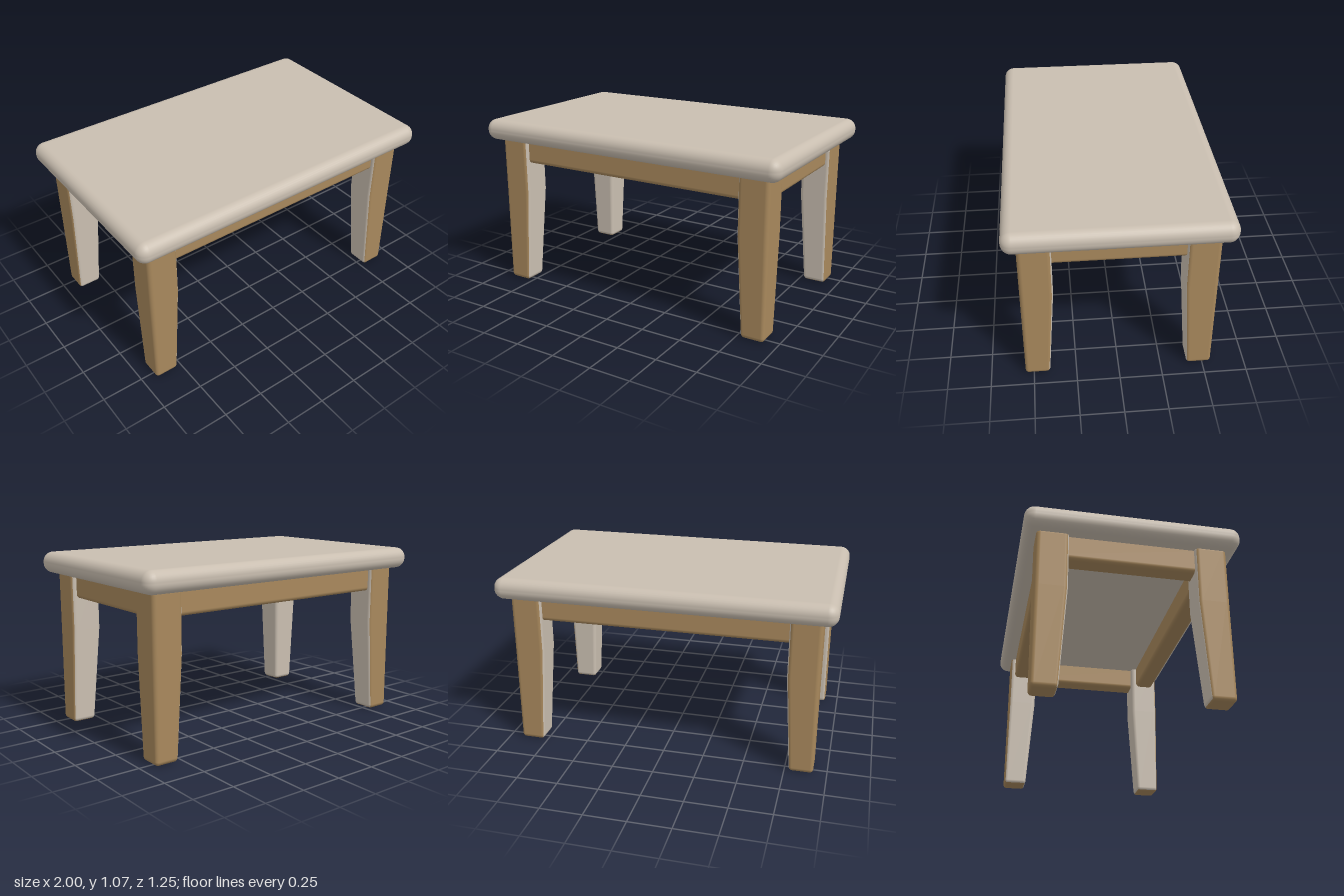
import * as THREE from 'three';

const wood = new THREE.MeshStandardMaterial({ color: 0xa8885c });
wood.name = 'warm wood';
const pale = new THREE.MeshStandardMaterial({ color: 0xc9beb0 });
pale.name = 'pale beige';

// Soft-edged box with smooth normals; yCuts adds extra rings up its height.
function softBox(w, h, d, r, yCuts = []) {
  const ticks = (size, cuts = []) => {
    const a = size / 2, edge = [];
    for (let i = 0; i <= 4; i++) edge.push(a - r + r * Math.tan(i * Math.PI / 16));
    return [...edge.map(v => -v).reverse(), ...cuts, ...edge];
  };
  const T = [ticks(w), ticks(h, yCuts), ticks(d)];
  const n = T.map(t => t.length - 1);
  const g = new THREE.BoxGeometry(1, 1, 1, n[0], n[1], n[2]);
  const half = new THREE.Vector3(w / 2 - r, h / 2 - r, d / 2 - r);
  const low = half.clone().negate();
  const pos = g.attributes.position, p = new THREE.Vector3(), core = new THREE.Vector3();
  for (let i = 0; i < pos.count; i++) {
    p.fromBufferAttribute(pos, i);
    p.set(...p.toArray().map((v, k) => T[k][Math.round((v + 0.5) * n[k])]));
    core.copy(p).clamp(low, half);
    p.sub(core).normalize();
    g.attributes.normal.setXYZ(i, p.x, p.y, p.z);
    core.addScaledVector(p, r);
    pos.setXYZ(i, core.x, core.y, core.z);
  }
  return g;
}

// Square leg: straight outer faces, inner faces tapering below the knee.
function makeLeg(sx, sz) {
  const w = 0.185, h = 0.96, knee = 0.6;
  const g = softBox(w, h, w, 0.025, [knee - h / 2]);
  const pos = g.attributes.position;
  for (let i = 0; i < pos.count; i++) {
    const y = pos.getY(i) + h / 2;
    const s = 1 - 0.22 * Math.max(0, (knee - y) / knee);
    const shrink = (v, side) => side * (w / 2 - (w / 2 - side * v) * s);
    pos.setXYZ(i, shrink(pos.getX(i), sx), y + 0.003, shrink(pos.getZ(i), sz));
  }
  // faces turned towards the middle are pale
  const leg = new THREE.Mesh(g, [
    sx > 0 ? wood : pale, sx > 0 ? pale : wood, wood, wood,
    sz > 0 ? wood : pale, sz > 0 ? pale : wood,
  ]);
  leg.position.set(sx * (0.92 - w / 2), 0, sz * (0.55 - w / 2));
  leg.name = (sz > 0 ? 'front' : 'back') + (sx > 0 ? 'Left' : 'Right') + 'Leg';
  return leg;
}

export function createModel() {
  const table = new THREE.Group();
  table.name = 'table';
  const add = (name, geometry, material, x, y, z) => {
    const m = new THREE.Mesh(geometry, material);
    m.name = name;
    m.position.set(x, y, z);
    table.add(m);
  };

  // Thick cushioned top
  add('tableTop', softBox(2, 0.13, 1.25, 0.06), pale, 0, 1.01, 0);

  // Legs
  for (const sx of [-1, 1]) for (const sz of [-1, 1]) table.add(makeLeg(sx, sz));

  // Rails between the legs
  for (const s of [-1, 1]) {
    add(s > 0 ? 'frontRail' : 'backRail', softBox(1.6, 0.17, 0.12, 0.025), wood, 0, 0.887, s * 0.46);
    add(s > 0 ? 'leftRail' : 'rightRail', softBox(0.12, 0.17, 0.86, 0.025), wood, s * 0.83, 0.887, 0);
  }
  return table;
}
